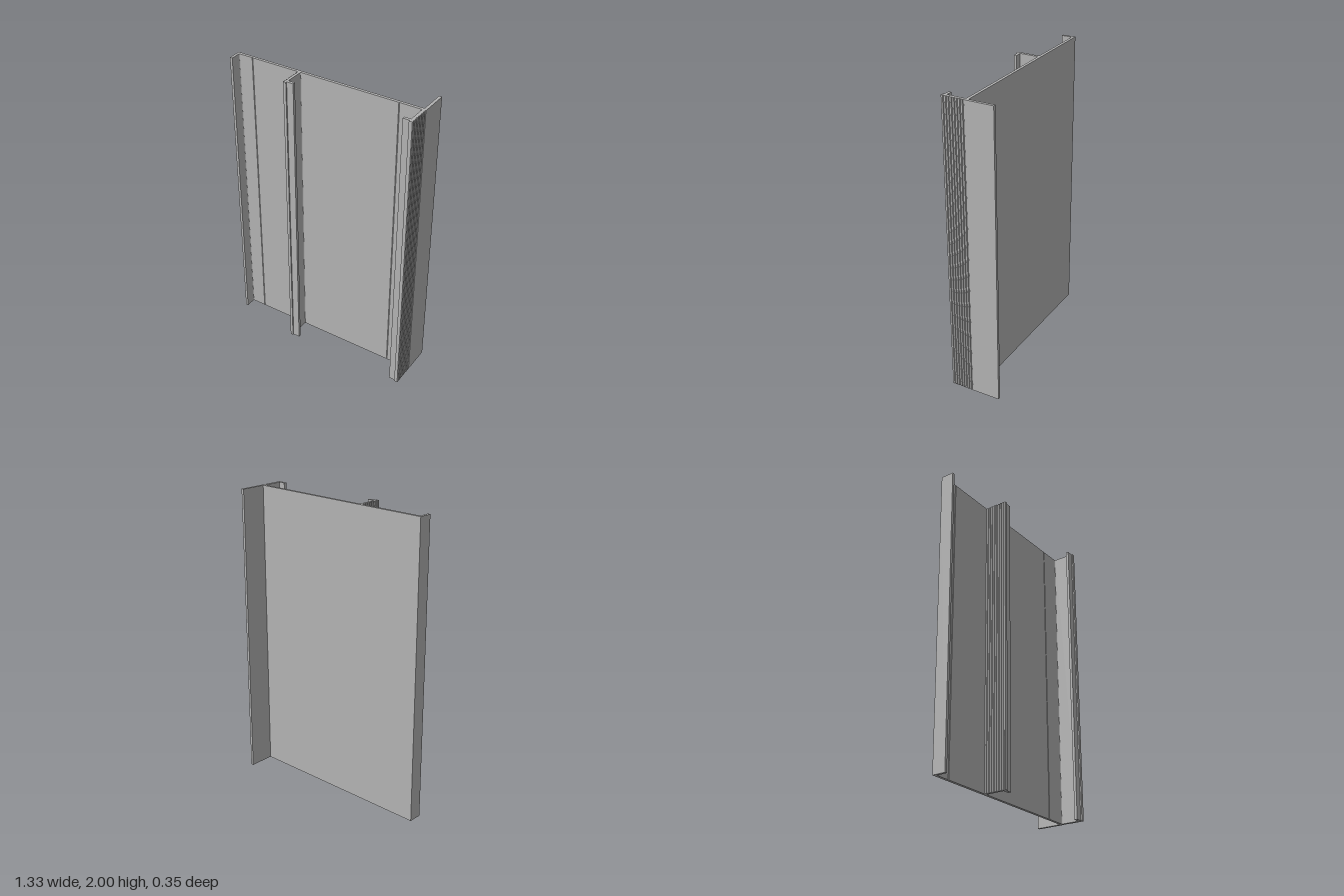
import * as THREE from 'three';

const HEIGHT = 2;
const RIBS = 8;

// Points are [x, z]; the shape plane uses y = -z so the extrusion can be stood upright.
function ribbedEdge(x, zStart, zEnd, inward) {
  const points = [];
  const pitch = (zEnd - zStart) / RIBS;
  for (let i = 0; i < RIBS; i++) {
    const z = zStart + i * pitch;
    points.push(
      [x, z],
      [x + inward, z + pitch * 0.2],
      [x + inward, z + pitch * 0.35],
      [x, z + pitch * 0.55],
    );
  }
  points.push([x, zEnd]);
  return points;
}

// Small rounded inside corner
function fillet(from, corner, to) {
  const curve = new THREE.QuadraticBezierCurve(
    new THREE.Vector2(...from), new THREE.Vector2(...corner), new THREE.Vector2(...to));
  return curve.getPoints(4).map((p) => [p.x, p.y]);
}

// Fine scribed line in the front of the plate, walked from right to left
function scribe(x, z) {
  return [[x + 0.003, z], [x, z - 0.003], [x - 0.003, z]];
}

export function createModel() {
  const metal = new THREE.MeshStandardMaterial({ color: 0xb3b3b3 });
  metal.name = 'greyMetal';
  const r = 0.008;
  const face = 0.019; // front of the plate

  const outline = [
    // back of the plate and rear fin
    [-0.665, 0], [0.646, 0], [0.646, -0.173], [0.665, -0.173],
    // ribbed outer side of the left leg, then its hooked foot
    ...ribbedEdge(0.665, 0.02, 0.168, -0.005),
    [0.663, 0.173], [0.641, 0.173], [0.641, 0.164],
    [0.597, 0.164], [0.597, 0.145], [0.641, 0.145],
    ...fillet([0.641, face + r], [0.641, face], [0.641 - r, face]),
    ...scribe(0.493, face),
    // middle leg with its hooked foot and ribbed outer side
    ...fillet([-0.186 + r, face], [-0.186, face], [-0.186, face + r]),
    [-0.186, 0.145], [-0.14, 0.145], [-0.14, 0.164],
    [-0.186, 0.164], [-0.186, 0.173], [-0.205, 0.173],
    ...ribbedEdge(-0.207, 0.168, 0.022, 0.005),
    [-0.207, face],
    ...scribe(-0.545, face),
    // short lip on the far edge
    ...fillet([-0.647 + r, face], [-0.647, face], [-0.647, face + r]),
    [-0.647, 0.09], [-0.665, 0.09],
  ];

  const shape = new THREE.Shape(outline.map(([x, z]) => new THREE.Vector2(x, -z)));
  const geometry = new THREE.ExtrudeGeometry(shape, { depth: HEIGHT, bevelEnabled: false });
  geometry.rotateX(-Math.PI / 2);

  const profile = new THREE.Mesh(geometry, metal);
  profile.name = 'extrudedProfile';

  const model = new THREE.Group();
  model.name = 'metalTrimProfile';
  model.add(profile);
  return model;
}
